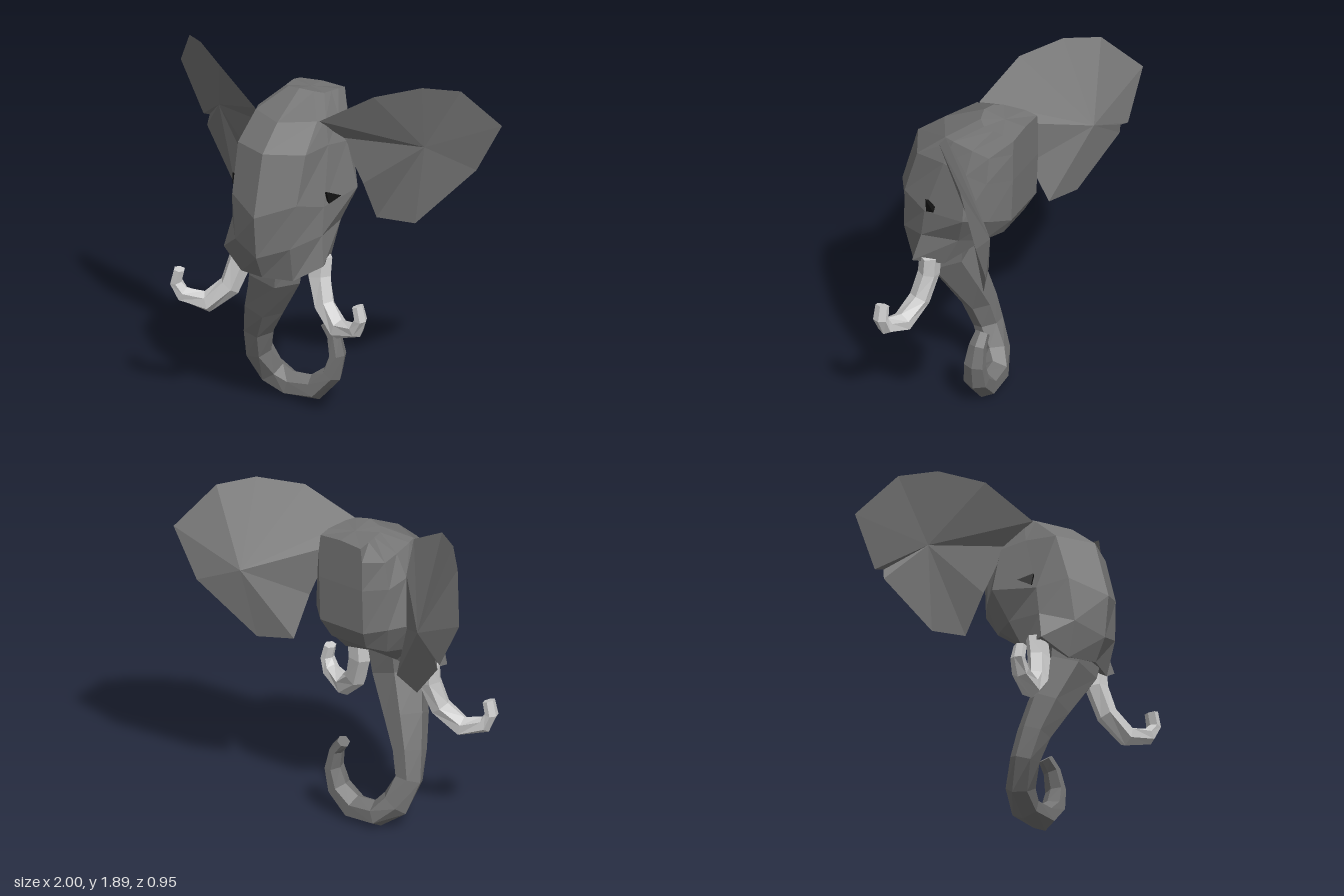
import * as THREE from 'three';

const material = (color) => new THREE.MeshStandardMaterial({ color, flatShading: true });
const hide = material(0x747474);
const ivory = material(0xcccccc);
const black = material(0x111111);

// Mesh from a list of triangles, each made of three [x, y, z] corners
function triMesh(name, tris, mat) {
  const geo = new THREE.BufferGeometry();
  geo.setAttribute('position', new THREE.Float32BufferAttribute(tris.flat(2), 3));
  geo.computeVertexNormals();
  const mesh = new THREE.Mesh(geo, mat);
  mesh.name = name;
  return mesh;
}

const flipX = ([x, y, z]) => [-x, y, z];
const mirrorTris = (tris) => tris.map(([a, b, c]) => [flipX(a), flipX(c), flipX(b)]);

// Skin between successive closed rings, with a fan over each end
function skin(rings) {
  const tris = [];
  const n = rings[0].length;
  const centre = (ring) => [0, 1, 2].map((k) => ring.reduce((s, p) => s + p[k], 0) / n);
  const first = rings[0], last = rings[rings.length - 1];
  const start = centre(first), end = centre(last);
  for (let j = 0; j < n; j++) {
    const k = (j + 1) % n;
    for (let i = 0; i < rings.length - 1; i++) {
      const a = rings[i][j], b = rings[i][k], c = rings[i + 1][j], d = rings[i + 1][k];
      tris.push([a, c, b], [b, c, d]);
    }
    tris.push([start, first[j], first[k]], [end, last[k], last[j]]);
  }
  return tris;
}

// Tapered tube; each station is [x, y, z, radius in the front plane, radius in depth]
function taperedTube(stations, sides) {
  const pts = stations.map(([x, y, z]) => new THREE.Vector3(x, y, z));
  return skin(stations.map(([, , , rn, rb], i) => {
    const t = pts[Math.min(i + 1, pts.length - 1)].clone().sub(pts[Math.max(i - 1, 0)]).normalize();
    const n = new THREE.Vector3(-t.y, t.x, 0).normalize();
    const b = t.clone().cross(n);
    return Array.from({ length: sides }, (_, k) => {
      const a = -k / sides * Math.PI * 2;
      return pts[i].clone().addScaledVector(n, Math.cos(a) * rn)
        .addScaledVector(b, Math.sin(a) * rb).toArray();
    });
  }));
}

export function createModel() {
  const model = new THREE.Group();
  model.name = 'elephantHead';

  // Skull: half rings from crown to jaw, running brow, temple, side, back
  const halfRings = [
    [[0, 1.8, -0.02], [0.08, 1.79, -0.04], [0.12, 1.775, -0.08], [0.13, 1.77, -0.14], [0.14, 1.765, -0.2], [0.14, 1.75, -0.27], [0, 1.76, -0.27]],
    [[0, 1.68, 0.22], [0.19, 1.69, 0.12], [0.21, 1.69, 0.06], [0.22, 1.67, -0.06], [0.22, 1.65, -0.16], [0.15, 1.67, -0.27], [0, 1.67, -0.27]],
    [[0, 1.55, 0.38], [0.21, 1.55, 0.28], [0.25, 1.56, 0.1], [0.28, 1.54, -0.05], [0.25, 1.5, -0.16], [0.15, 1.5, -0.27], [0, 1.5, -0.27]],
    [[0, 1.21, 0.475], [0.2, 1.28, 0.36], [0.28, 1.24, 0.2], [0.34, 1.28, -0.06], [0.25, 1.26, -0.17], [0.15, 1.24, -0.26], [0, 1.24, -0.26]],
    [[0, 0.97, 0.45], [0.17, 1.03, 0.38], [0.28, 1.08, 0.22], [0.27, 1.1, 0], [0.2, 1.1, -0.12], [0.12, 1.13, -0.2], [0, 1.13, -0.2]],
    [[0, 0.84, 0.385], [0.16, 0.83, 0.33], [0.31, 0.92, 0.26], [0.26, 0.92, 0.09], [0.17, 1.0, 0], [0.1, 1.04, -0.06], [0, 1.04, -0.06]],
  ];
  const rings = halfRings.map((h) => [...h, ...h.slice(1, -1).reverse().map(flipX)]);
  model.add(triMesh('head', skin(rings), hide));

  // Trunk sweeping down to one side and curling up at the tip
  model.add(triMesh('trunk', taperedTube([
    [0, 0.98, 0.22, 0.17, 0.18], [-0.015, 0.82, 0.215, 0.16, 0.155],
    [-0.115, 0.6, 0.15, 0.12, 0.13], [-0.18, 0.43, 0.1, 0.085, 0.105],
    [-0.207, 0.28, 0.06, 0.078, 0.085], [-0.165, 0.145, -0.005, 0.085, 0.08],
    [-0.075, 0.072, -0.045, 0.072, 0.085], [0.08, 0.072, -0.055, 0.072, 0.08],
    [0.18, 0.165, -0.065, 0.055, 0.075], [0.21, 0.28, -0.07, 0.042, 0.065],
    [0.185, 0.39, -0.075, 0.037, 0.052], [0.135, 0.45, -0.08, 0.035, 0.042],
  ], 6), hide));

  // Ear outline from the brow over the top and round to the neck
  const earRim = [
    [0.2, 1.69, 0.11], [0.48, 1.85, 0.01], [0.69, 1.89, -0.15], [0.845, 1.85, -0.3],
    [1, 1.62, -0.475], [0.85, 1.34, -0.46], [0.56, 1.03, -0.3], [0.36, 1.05, -0.23],
    [0.34, 1.28, -0.12], [0.26, 1.56, -0.03],
  ];
  const tornRim = [...earRim];
  tornRim.splice(6, 0, [0.8, 1.35, -0.44], [0.81, 1.29, -0.43]);
  const earTris = (rim) => rim.flatMap((p, i) => {
    const q = rim[(i + 1) % rim.length];
    return [[[0.64, 1.5, -0.26], q, p], [[0.62, 1.43, -0.37], p, q]];
  });

  // Tusks, curling outward and up
  const tusk = [
    [0.25, 0.95, 0.18, 0.07, 0.055], [0.245, 0.83, 0.19, 0.072, 0.058],
    [0.295, 0.68, 0.22, 0.062, 0.058], [0.41, 0.58, 0.265, 0.06, 0.058],
    [0.54, 0.615, 0.305, 0.045, 0.05], [0.575, 0.68, 0.315, 0.032, 0.045],
    [0.555, 0.757, 0.315, 0.03, 0.04],
  ];

  // Eye: a small three-sided wedge set into the temple
  const e = [[0.29, 1.325, 0.19], [0.3, 1.255, 0.18], [0.34, 1.29, 0.115], [0.23, 1.29, 0.15]];
  const eye = [[e[0], e[1], e[2]], [e[0], e[3], e[1]], [e[1], e[3], e[2]], [e[2], e[3], e[0]]];

  model.add(triMesh('leftEar', earTris(earRim), hide));
  model.add(triMesh('rightEar', mirrorTris(earTris(tornRim)), hide));
  for (const [side, mirror] of [['left', (t) => t], ['right', mirrorTris]]) {
    model.add(triMesh(side + 'Tusk', mirror(taperedTube(tusk, 6)), ivory));
    model.add(triMesh(side + 'Eye', mirror(eye), black));
  }
  return model;
}
